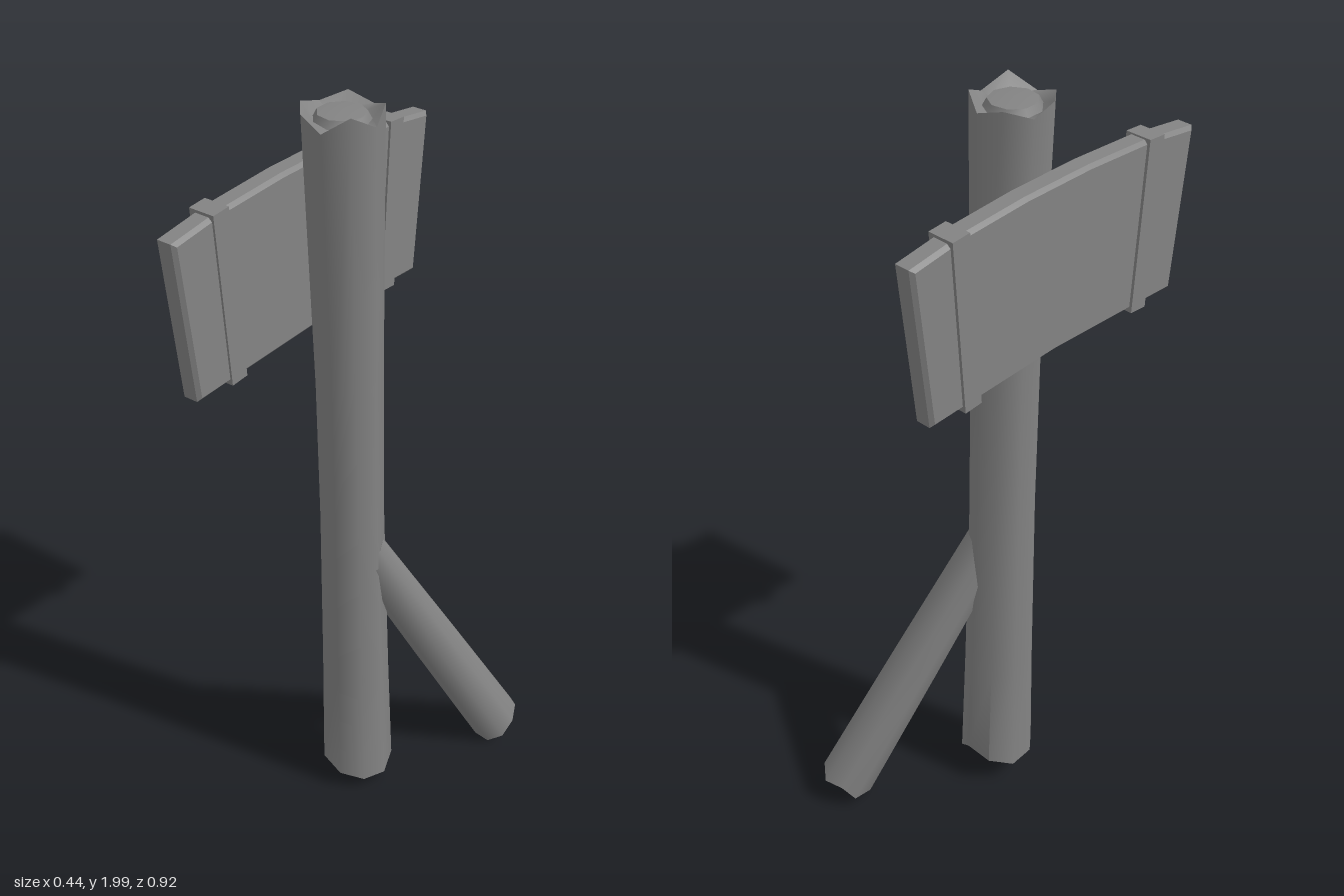
import * as THREE from 'three';
import { toCreasedNormals } from 'three/addons/utils/BufferGeometryUtils.js';

const SIDES = 9;
const material = new THREE.MeshStandardMaterial({ color: 0x838383 });

// Log with ragged rims around a slightly domed core at both ends.
// rings: [x, y, z, radius] from bottom to top; the rim heights replace y on the end rings.
function logGeometry(rings, bottomRim, topRim) {
  const row = ([x, y, z, r], heights) => Array.from({ length: SIDES }, (_, j) => {
    const a = (j / SIDES) * Math.PI * 2;
    return [x + Math.cos(a) * r, heights ? heights[j] : y, z + Math.sin(a) * r];
  });
  const end = ([x, y, z, r], rim, out) => [
    row([x, y + out * 0.006, z, 0]),
    row([x, y, z, r * 0.6]),
    row([x, y - out * 0.018, z, r * 0.7]),
    row([x, y, z, r], rim),
  ];
  const rows = [
    ...end(rings[0], bottomRim, -1),
    ...rings.slice(1, -1).map((ring) => row(ring)),
    ...end(rings[rings.length - 1], topRim, 1).reverse(),
  ];
  // the first and last rows are single points, so they get one triangle per side
  const positions = [];
  for (let i = 0; i < rows.length - 1; i++) {
    for (let j = 0; j < SIDES; j++) {
      const k = (j + 1) % SIDES;
      const a = rows[i][j], b = rows[i + 1][j], c = rows[i + 1][k], d = rows[i][k];
      if (i > 0) positions.push(...a, ...b, ...d);
      if (i < rows.length - 2) positions.push(...b, ...c, ...d);
    }
  }
  const geometry = new THREE.BufferGeometry();
  geometry.setAttribute('position', new THREE.Float32BufferAttribute(positions, 3));
  return toCreasedNormals(geometry, 0.8);
}

export function createModel() {
  const model = new THREE.Group();
  model.name = 'woodenSignpost';
  const add = (name, geometry) => {
    const mesh = new THREE.Mesh(geometry, material);
    mesh.name = name;
    model.add(mesh);
    return mesh;
  };

  // Upright post, leaning a little forward and narrowest in the middle
  add('post', logGeometry(
    [
      [-0.068, 0.068, -0.031, 0.097],
      [-0.068, 0.4, -0.024, 0.09],
      [-0.068, 0.9, -0.014, 0.083],
      [-0.066, 1.3, -0.005, 0.084],
      [-0.066, 1.978, 0.011, 0.095],
    ],
    [0.04, 0.045, 0.06, 0.08, 0.085, 0.08, 0.1, 0.12, 0.06],
    [1.965, 2.0, 1.96, 1.985, 1.99, 1.97, 1.99, 1.97, 1.995],
  ));

  // Slanted brace behind the post
  const foot = new THREE.Vector3(0.15, 0.055, -0.394);
  const head = new THREE.Vector3(-0.038, 0.795, -0.027);
  const length = head.distanceTo(foot);
  const brace = add('brace', logGeometry(
    [[0, 0, 0, 0.073], [0, length * 0.5, 0, 0.065], [0, length, 0, 0.055]],
    [0.01, -0.008, -0.018, -0.014, 0.01, -0.008, 0.012, -0.004, 0.014],
    Array(SIDES).fill(length),
  ));
  brace.position.copy(foot);
  brace.quaternion.setFromUnitVectors(new THREE.Vector3(0, 1, 0), head.clone().sub(foot).normalize());

  // Arched sign board, widening upward
  const outline = new THREE.Shape([
    [-0.39, 1.4], [-0.27, 1.405], [0, 1.415], [0.29, 1.405], [0.41, 1.4],
    [0.457, 1.807], [0.29, 1.83], [0.1, 1.84], [-0.1, 1.84], [-0.28, 1.83], [-0.437, 1.807],
  ].map(([z, y]) => new THREE.Vector2(z, y)));
  const bevel = 0.009;
  const boardGeometry = new THREE.ExtrudeGeometry(outline, {
    depth: 0.056 - 2 * bevel, bevelEnabled: true, bevelSegments: 1,
    bevelSize: bevel, bevelThickness: bevel, bevelOffset: -bevel,
  });
  const board = add('signBoard', toCreasedNormals(boardGeometry, 0.4));
  board.rotation.y = -Math.PI / 2;
  board.position.x = -0.157 - bevel;

  // Straps wrapped round the board near each end
  for (const side of [1, -1]) {
    const strap = add(side > 0 ? 'frontStrap' : 'backStrap', new THREE.BoxGeometry(0.069, 0.434, 0.05));
    strap.position.set(-0.186, 1.616, 0.005 + side * 0.293);
    strap.rotation.x = side * 0.075;
  }
  return model;
}
